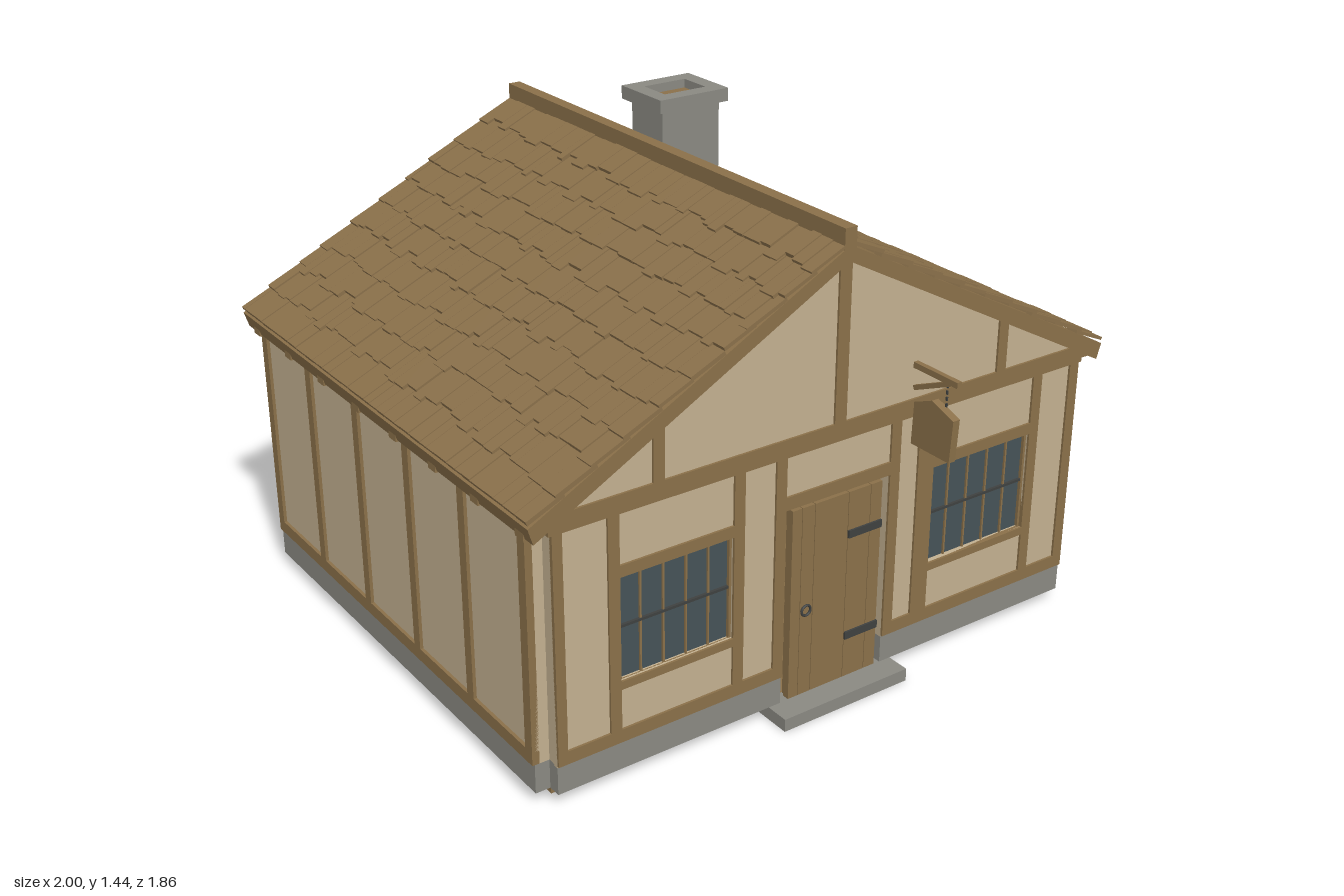
import * as THREE from 'three';
import { mergeGeometries } from 'three/addons/utils/BufferGeometryUtils.js';

const mat = (name, color) => {
  const m = new THREE.MeshStandardMaterial({ color });
  m.name = name;
  return m;
};

export function createModel() {
  const root = new THREE.Group();
  root.name = 'timberCottage';
  const plaster = mat('plaster', 0xc3b090);
  const wood = mat('wood', 0x8a7049);
  const shingleWood = mat('shingleWood', 0x8a704a);
  const stone = mat('stone', 0x8a8982);
  const iron = mat('iron', 0x3f4140);
  const glass = mat('glass', 0x465357);
  const seam = mat('seam', 0x54432c);

  let seed = 7;
  const rnd = () => (seed = (seed * 16807) % 2147483647) / 2147483647;

  const add = (name, geo, material, parent = root) => {
    const mesh = new THREE.Mesh(geo, material);
    mesh.name = name;
    parent.add(mesh);
    return mesh;
  };
  // Box given by its limits on each axis
  const box = (name, m, x0, x1, y0, y1, z0, z1, parent = root) => {
    const b = add(name, new THREE.BoxGeometry(x1 - x0, y1 - y0, z1 - z0), m, parent);
    b.position.set((x0 + x1) / 2, (y0 + y1) / 2, (z0 + z1) / 2);
    return b;
  };
  const extrude = (name, m, shape, z0, z1) => {
    const e = add(name, new THREE.ExtrudeGeometry(shape, { depth: z1 - z0, bevelEnabled: false }), m);
    e.position.z = z0;
    return e;
  };
  const poly = (pts) => new THREE.Shape(pts.map((p) => new THREE.Vector2(...p)));

  // Floor planks
  const plankW = 1.84 / 22;
  for (let i = 0; i < 22; i++) {
    const x = -0.92 + i * plankW;
    box('floorPlank', wood, x + 0.002, x + plankW - 0.002, 0.02, 0.04, -0.86, 0.71);
  }
  box('floorBase', seam, -0.915, 0.915, 0.026, 0.038, -0.855, 0.705);

  // Stone footing and doorstep
  box('footingFrontRight', stone, -0.92, -0.18, 0.04, 0.13, 0.71, 0.75);
  box('footingFrontLeft', stone, 0.19, 0.92, 0.04, 0.13, 0.71, 0.75);
  box('footingBack', stone, -0.92, 0.92, 0.04, 0.13, -0.905, -0.86);
  for (const s of [-1, 1]) {
    box('footingSide', stone, Math.min(s * 0.92, s * 0.965), Math.max(s * 0.92, s * 0.965), 0.04, 0.13, -0.86, 0.71);
  }
  box('doorstep', stone, -0.22, 0.23, 0, 0.04, 0.705, 0.825);

  // Gable walls; the front has a door notch and window holes
  const windows = [[-0.72, -0.355], [0.355, 0.735]];
  const gableTop = [[0.92, 0.125], [0.92, 0.865], [0, 1.352], [-0.92, 0.865], [-0.92, 0.125]];
  const front = poly([[-0.18, 0.125], [-0.18, 0.66], [0.19, 0.66], [0.19, 0.125], ...gableTop]);
  for (const [a, b] of windows) {
    front.holes.push(new THREE.Path([[a, 0.32], [a, 0.635], [b, 0.635], [b, 0.32]].map((p) => new THREE.Vector2(...p))));
  }
  extrude('frontWall', plaster, front, 0.71, 0.75);
  extrude('backWall', plaster, poly(gableTop), -0.9, -0.86);

  // Front timbers
  const FZ = [0.74, 0.757];
  const ft = (name, x0, x1, y0, y1) => box(name, wood, x0, x1, y0, y1, ...FZ);
  ft('frontSill', -0.92, -0.18, 0.13, 0.17);
  ft('frontSill', 0.19, 0.92, 0.13, 0.17);
  ft('frontTopBeam', -0.93, 0.93, 0.82, 0.875);
  for (const [a, b] of [[-0.92, -0.89], [-0.755, -0.72], [-0.355, -0.32], [-0.215, -0.18],
    [0.19, 0.225], [0.295, 0.355], [0.735, 0.77], [0.885, 0.92]]) ft('frontPost', a, b, 0.17, 0.82);
  ft('doorLintel', -0.18, 0.19, 0.66, 0.7);
  for (const [a, b] of windows) {
    ft('windowHead', a, b, 0.635, 0.67);
    ft('windowSill', a, b, 0.295, 0.32);
    box('windowGlass', glass, a, b, 0.32, 0.635, 0.728, 0.735);
    for (let i = 1; i < 5; i++) {
      const x = a + ((b - a) * i) / 5;
      box('windowBar', wood, x - 0.003, x + 0.003, 0.32, 0.635, 0.734, 0.741);
    }
    box('windowCrossbar', iron, a, b, 0.475, 0.483, 0.734, 0.743);
    box('windowJamb', wood, a, a + 0.008, 0.32, 0.635, 0.732, 0.745);
    box('windowJamb', wood, b - 0.008, b, 0.32, 0.635, 0.732, 0.745);
  }

  // Back timbers: seven posts, beams and corner braces
  const BZ = [-0.908, -0.895];
  box('backSill', wood, -0.92, 0.92, 0.13, 0.17, ...BZ);
  box('backTopBeam', wood, -0.93, 0.93, 0.82, 0.875, ...BZ);
  for (let i = 0; i < 7; i++) {
    const x = -0.9025 + i * 0.3008;
    box('backPost', wood, x - 0.0175, x + 0.0175, 0.17, 0.82, ...BZ);
  }
  for (const s of [-1, 1]) {
    const brace = add('backBrace', new THREE.BoxGeometry(0.035, 0.33, 0.014), wood);
    brace.position.set(s * 0.8, 0.7, -0.912);
    brace.rotation.z = -s * 0.67;
  }

  // Gable posts on both ends
  for (const z of [FZ, BZ]) {
    box('gableCentrePost', wood, -0.02, 0.02, 0.875, 1.38, ...z);
    for (const s of [-1, 1]) box('gablePost', wood, s * 0.597 - 0.0175, s * 0.597 + 0.0175, 0.875, 1.055, ...z);
  }

  // Side walls with posts, beams and rafter ends
  for (const s of [-1, 1]) {
    const side = (name, m, x0, x1, y0, y1, z0, z1) =>
      box(name, m, Math.min(s * x0, s * x1), Math.max(s * x0, s * x1), y0, y1, z0, z1);
    side('sideWall', plaster, 0.92, 0.962, 0.125, 0.86, -0.86, 0.71);
    side('sideSill', wood, 0.95, 0.972, 0.13, 0.17, -0.86, 0.71);
    side('sideTopBeam', wood, 0.95, 0.972, 0.82, 0.855, -0.86, 0.71);
    for (let i = 0; i < 6; i++) {
      const z = 0.6925 - i * 0.307;
      side('sidePost', wood, 0.95, 0.972, 0.17, 0.82, z - 0.0175, z + 0.0175);
    }
    for (let i = 0; i < 8; i++) {
      const z = 0.71 - i * 0.2245;
      side('rafterEnd', wood, 0.94, 0.985, 0.815, 0.858, z - 0.02, z + 0.02);
    }
  }

  // Roof slab, ridge beam
  extrude('roofSlab', wood, poly([[0, 1.39], [0.995, 0.868], [0.98, 0.82], [0, 1.345],
    [-0.98, 0.82], [-0.995, 0.868]]), -0.93, 0.77);
  box('ridgeBeam', wood, -0.02, 0.02, 1.35, 1.44, -0.93, 0.77);

  // Shingles: ten overlapping rows of random widths on each slope
  const slope = Math.atan(0.525);
  const pitch = 0.0972 / Math.cos(slope);
  for (const turn of [0, Math.PI]) {
    const geos = [];
    for (let row = 0; row < 10; row++) {
      let z = -0.85;
      while (z < 0.85) {
        let w = 0.028 + rnd() * 0.045;
        if (z + w > 0.83) w = 0.85 - z;
        const drop = row === 9 ? 0 : (rnd() - 0.4) * 0.035;
        const g = new THREE.BoxGeometry(pitch + 0.01 + drop, 0.009 + rnd() * 0.005, w - 0.002);
        g.rotateZ(0.07);
        g.translate(0.02 + pitch * (row + 0.5) - 0.005 + drop / 2, 0.009 + rnd() * 0.004, z + w / 2);
        geos.push(g);
        z += w;
      }
    }
    const geo = mergeGeometries(geos);
    geo.rotateZ(-slope);
    geo.translate(0, 1.39, 0);
    const tiles = add('roofShingles', geo, shingleWood);
    tiles.rotation.y = turn;
    tiles.position.z = -0.08;
  }

  // Chimney with a hollow cap
  box('chimneyStack', stone, 0.42, 0.65, 1.0, 1.335, -0.87, -0.69);
  const cap = poly([[0.395, 0.665], [0.67, 0.665], [0.67, 0.895], [0.395, 0.895]]);
  cap.holes.push(new THREE.Path([[0.45, 0.72], [0.45, 0.84], [0.615, 0.84], [0.615, 0.72]].map((p) => new THREE.Vector2(...p))));
  const capMesh = extrude('chimneyCap', stone, cap, 0, 0.045);
  capMesh.rotation.x = -Math.PI / 2;
  capMesh.position.set(0, 1.33, 0);
  capMesh.geometry.translate(0, 0, 0);
  capMesh.geometry.scale(1, -1, 1);
  capMesh.geometry.translate(0, 1.56, 0);
  capMesh.geometry.scale(1, -1, 1);
  capMesh.position.z = -1.56 + 0;
  capMesh.geometry.translate(0, 1.56, 0);
  capMesh.geometry.translate(0, -1.56, 0);
  capMesh.position.z = -1.56;
  box('chimneyFlue', wood, 0.45, 0.615, 1.33, 1.345, -0.84, -0.72);

  // Plank door with straps and ring handle
  const door = new THREE.Group();
  door.name = 'door';
  root.add(door);
  for (const [a, b] of [[-0.15, -0.117], [-0.115, -0.072], [-0.07, 0.048], [0.05, 0.128], [0.13, 0.17]]) {
    box('doorPlank', wood, a, b, 0.04, 0.645, 0.725, 0.748, door);
  }
  box('doorBacking', wood, -0.148, 0.168, 0.045, 0.64, 0.718, 0.73, door);
  for (const y of [0.18, 0.512]) box('hingeStrap', iron, 0.05, 0.17, y - 0.012, y + 0.012, 0.745, 0.754, door);
  const ring = add('doorRing', new THREE.TorusGeometry(0.016, 0.004, 6, 14), iron, door);
  ring.position.set(-0.1, 0.32, 0.756);

  // Hanging sign: arm, strut, chains and board
  const sign = new THREE.Group();
  sign.name = 'hangingSign';
  root.add(sign);
  box('signArm', wood, 0.257, 0.273, 0.972, 0.99, 0.755, 0.93, sign);
  const strut = box('signStrut', wood, 0.259, 0.271, 0.937, 0.951, 0.75, 0.91, sign);
  strut.rotation.x = -0.42;
  for (let i = 0; i < 4; i++) box('chainLink', iron, 0.263, 0.267, 0.9 + i * 0.019, 0.911 + i * 0.019, 0.882, 0.888, sign);
  const board = add('signBoard', new THREE.ExtrudeGeometry(
    poly([[-0.92, 0.745], [-0.765, 0.745], [-0.77, 0.875], [-0.84, 0.905], [-0.928, 0.875]]),
    { depth: 0.024, bevelEnabled: false }), wood, sign);
  board.rotation.y = Math.PI / 2;
  board.position.x = 0.253;

  return root;
}
